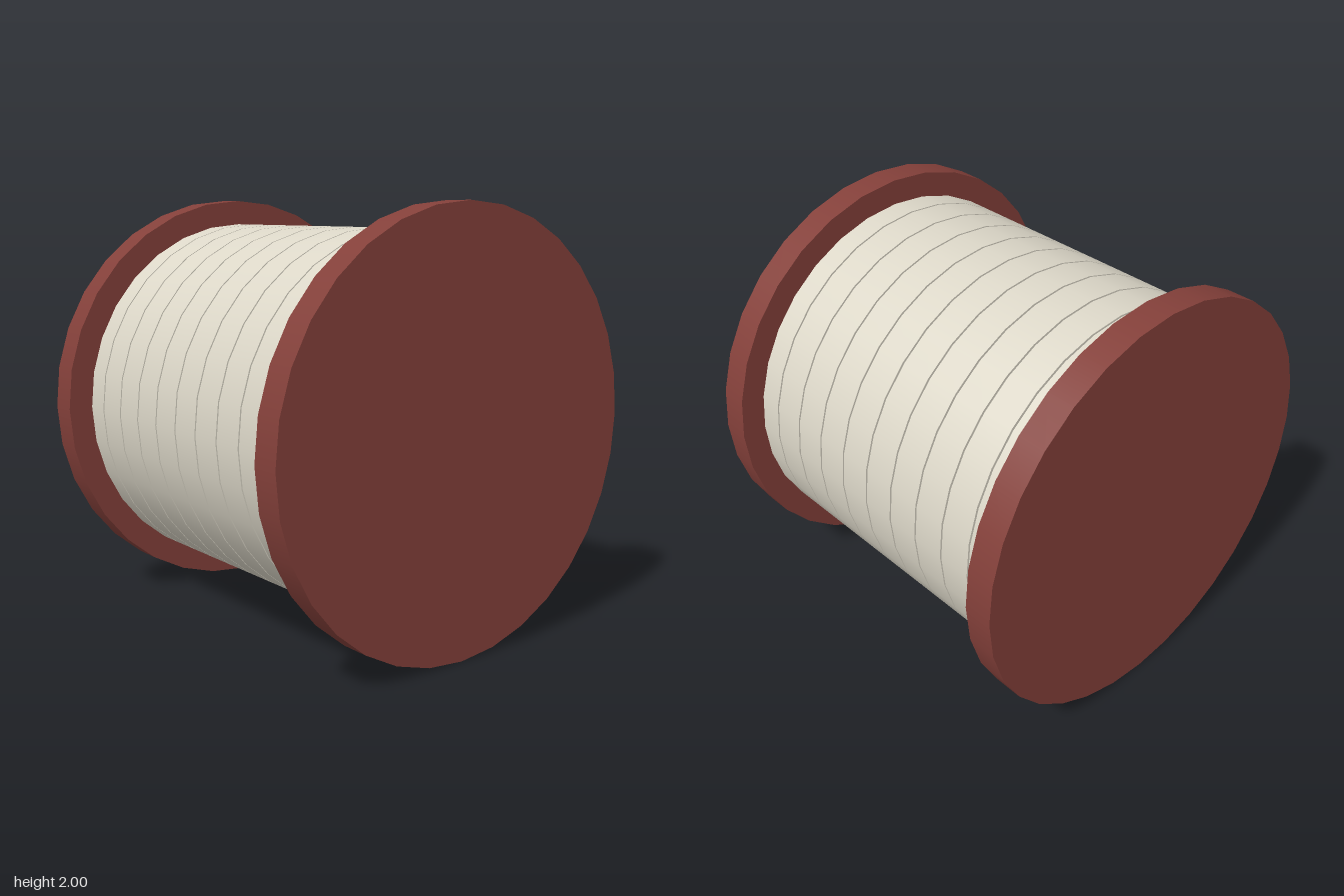
import * as THREE from 'three';

export function createModel() {
  const model = new THREE.Group();
  model.name = 'spool';

  const flangeRed = new THREE.MeshStandardMaterial({ color: 0x84403a });
  flangeRed.name = 'flange red';
  const windingCream = new THREE.MeshStandardMaterial({ color: 0xdcd7c8 });
  windingCream.name = 'winding cream';

  // Capped disc lying on the x axis
  const disc = (name, radius, width, x, material) => {
    const geometry = new THREE.CylinderGeometry(radius, radius, width, 32);
    geometry.rotateZ(Math.PI / 2);
    const mesh = new THREE.Mesh(geometry, material);
    mesh.name = name;
    mesh.position.set(x, 1, 0);
    model.add(mesh);
  };

  // End flanges
  disc('leftFlange', 1, 0.137, 0.853, flangeRed);
  disc('rightFlange', 1, 0.137, -0.853, flangeRed);

  // Ten windings separated by narrow open slits
  const count = 10, pitch = 0.1657, gap = 0.009;
  for (let i = 0; i < count; i++) {
    const x = (i - (count - 1) / 2) * pitch;
    disc(`winding${i + 1}`, 0.88, pitch - gap, x, windingCream);
  }

  return model;
}
